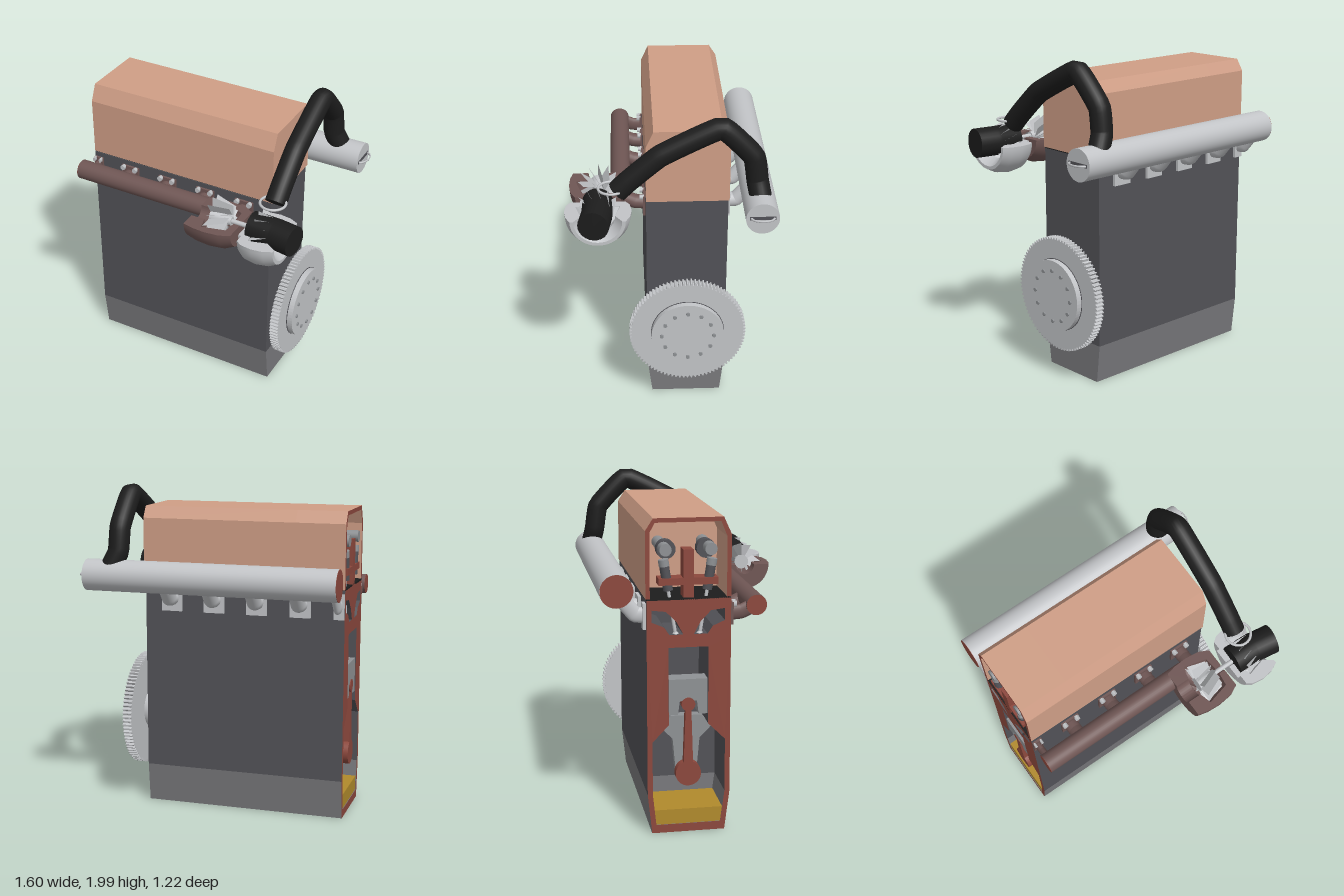
import * as THREE from 'three';
import { toCreasedNormals } from 'three/addons/utils/BufferGeometryUtils.js';

const mat = (name, color) => new THREE.MeshStandardMaterial({ name, color, side: THREE.DoubleSide });
const dark = mat('blockGrey', 0x525257), pan = mat('panGrey', 0x79797c), peach = mat('coverCopper', 0xcf9e86);
const light = mat('lightMetal', 0xc2c4c7), brown = mat('exhaustBrown', 0x6f5654), black = mat('rubberBlack', 0x1d1d1d);
const red = mat('sectionRed', 0x8c483d), oilMat = mat('oilYellow', 0xb08a2c), steel = mat('innerSteel', 0x8e9194);

const CUT = -0.8, DEEP = -0.5, MID = -0.11;
const V = (x, y, z) => new THREE.Vector3(x, y, z);

export function createModel() {
  const root = new THREE.Group();
  const add = (name, geo, m, parent = root) => {
    const mesh = new THREE.Mesh(geo, m);
    mesh.name = name;
    parent.add(mesh);
    return mesh;
  };
  // prism along x from a [z, y] outline
  const prism = (pts, x0, x1, holes = []) => {
    const v = (p) => p.map(([z, y]) => new THREE.Vector2(-z, y));
    const s = new THREE.Shape(v(pts));
    holes.forEach((h) => s.holes.push(new THREE.Path(v(h))));
    return new THREE.ExtrudeGeometry(s, { depth: x1 - x0, bevelEnabled: false }).rotateY(Math.PI / 2).translate(x0, 0, 0);
  };
  const ring = (z, y, r, n = 24) => Array.from({ length: n }, (_, i) => {
    const a = i / n * Math.PI * 2;
    return [z + r * Math.cos(a), y + r * Math.sin(a)];
  });
  const cylX = (r, x0, x1, y, z, n = 40) =>
    new THREE.CylinderGeometry(r, r, x1 - x0, n).rotateZ(-Math.PI / 2).translate((x0 + x1) / 2, y, z);
  const box = (w, h, d, x, y, z) => new THREE.BoxGeometry(w, h, d).translate(x, y, z);
  // tube through points, closed with discs
  const hose = (name, pts, r, m, parent = root) => {
    const curve = new THREE.CatmullRomCurve3(pts, false, 'catmullrom', 0.15);
    add(name, new THREE.TubeGeometry(curve, 48, r, 24), m, parent);
    for (const t of [0, 1]) {
      const cap = add(name + 'End', new THREE.CircleGeometry(r, 24), m, parent);
      const p = curve.getPoint(t);
      cap.position.copy(p);
      cap.lookAt(p.clone().addScaledVector(curve.getTangent(t), t ? 1 : -1));
    }
  };

  // crankcase, head, pan and cover: hollow at the cut end, solid behind it
  const blockOut = [[0.135, 0.24], [0.135, 1.18], [-0.35, 1.18], [-0.35, 0.24]];
  add('blockSection', prism([...blockOut, [-0.32, 0.24], [-0.32, 0.56], [-0.225, 0.66], [-0.225, 1.12],
    [0.005, 1.12], [0.005, 0.66], [0.105, 0.56], [0.105, 0.24]], CUT, DEEP), [red, dark]);
  add('block', prism(blockOut, DEEP, 0.44), dark);

  const headOut = [[0.135, 1.18], [0.135, 1.4], [-0.35, 1.4], [-0.35, 1.18]];
  const port = (s) => [[0.21, 1.34], [0.13, 1.33], [0.07, 1.27], [0.03, 1.195], [0.11, 1.195], [0.14, 1.24], [0.21, 1.27]]
    .map(([d, y]) => [MID + s * d, y]);
  add('headSection', prism(headOut, CUT, DEEP, [port(1), port(-1)]), [red, dark]);
  add('head', prism(headOut, DEEP, 0.44), dark);

  const panOut = [[0.105, 0], [0.135, 0.24], [-0.35, 0.24], [-0.325, 0]];
  add('panSection', prism([[0.105, 0], [0.135, 0.24], [0.105, 0.24], [0.08, 0.05], [-0.3, 0.05], [-0.32, 0.24],
    [-0.35, 0.24], [-0.325, 0]], CUT, DEEP), [red, pan]);
  add('oilPan', prism(panOut, DEEP, 0.44), pan);
  add('oil', prism([[0.08, 0.05], [0.092, 0.14], [-0.31, 0.14], [-0.3, 0.05]], CUT + 0.004, DEEP), oilMat);

  const coverOut = [[0.135, 1.405], [0.135, 1.76], [0.09, 1.86], [-0.31, 1.86], [-0.355, 1.79], [-0.355, 1.405]];
  const coverIn = [[-0.33, 1.405], [-0.33, 1.78], [-0.3, 1.835], [0.075, 1.835], [0.11, 1.75], [0.11, 1.405]];
  add('coverSection', prism([...coverOut, ...coverIn], CUT, DEEP), [red, peach]);
  add('valveCover', prism(coverOut, DEEP, 0.45), peach);
  add('headGasket', box(1.24, 0.012, 0.48, -0.18, 1.402, MID), black);

  // cutaway internals: piston, rod, crank, valves and cams
  add('piston', prism([[-0.222, 0.72], [-0.222, 0.93], [0.002, 0.93], [0.002, 0.72], [-0.05, 0.72], [-0.06, 0.8],
    [-0.16, 0.8], [-0.17, 0.72]], CUT + 0.004, -0.69), steel);
  add('connectingRod', prism([[-0.14, 0.36], [-0.125, 0.8], [-0.095, 0.8], [-0.08, 0.36]], CUT, -0.76), red);
  add('rodBigEnd', cylX(0.075, CUT, -0.75, 0.36, MID), red);
  add('rodSmallEnd', cylX(0.04, CUT, -0.75, 0.78, MID), red);
  add('crankWeb', prism([[-0.17, 0.33], [-0.19, 0.55], [-0.26, 0.62], [-0.2, 0.69], [-0.02, 0.69], [0.04, 0.62],
    [-0.03, 0.55], [-0.05, 0.33]], -0.72, -0.66), steel);
  add('crankshaft', cylX(0.07, -0.7, DEEP, 0.545, MID), steel);
  add('camCarrier', box(0.1, 0.3, 0.06, -0.75, 1.53, MID), red);
  add('camBridge', box(0.1, 0.04, 0.34, -0.75, 1.5, MID), red);
  for (const s of [1, -1]) {
    const z = MID + s * 0.13;
    add('camshaft', cylX(0.035, CUT, DEEP, 1.68, z, 20), steel);
    const lobe = add('camLobe', cylX(0.055, -0.72, -0.66, 1.67, z - s * 0.015, 20), dark);
    lobe.scale.y = 1;
    const valve = new THREE.Group();
    valve.name = 'valve';
    valve.position.set(-0.77, 1.19, MID + s * 0.07);
    valve.rotation.x = s * 0.16;
    root.add(valve);
    add('valveStem', new THREE.CylinderGeometry(0.01, 0.01, 0.42, 12).translate(0, 0.21, 0), light, valve);
    add('valveHead', new THREE.CylinderGeometry(0.012, 0.03, 0.03, 20), light, valve);
    add('valveSpring', new THREE.CylinderGeometry(0.028, 0.028, 0.14, 16).translate(0, 0.33, 0), dark, valve);
    add('tappet', new THREE.CylinderGeometry(0.03, 0.03, 0.04, 16).translate(0, 0.42, 0), steel, valve);
  }

  // flywheel with ring gear
  const gear = [];
  const TEETH = 90;
  for (let i = 0; i < TEETH; i++) {
    for (const [f, r] of [[0, 0.342], [0.25, 0.356], [0.5, 0.356], [0.75, 0.342]]) {
      const a = (i + f) / TEETH * Math.PI * 2;
      gear.push([MID + r * Math.cos(a), 0.545 + r * Math.sin(a)]);
    }
  }
  add('flywheelHub', cylX(0.125, 0.44, 0.52, 0.545, MID), light);
  add('ringGear', prism(gear, 0.51, 0.565), light);
  add('clutchPlate', prism(ring(MID, 0.545, 0.222, 64), 0.565, 0.603), light);
  add('plateGroove', prism(ring(MID, 0.545, 0.225, 64), 0.565, 0.569), dark);
  for (const [z, y] of ring(MID, 0.545, 0.16, 12)) {
    add('flywheelBolt', cylX(0.012, 0.6, 0.612, y, z, 10), steel);
  }

  // intake plenum and exhaust manifold
  add('intakePlenum', cylX(0.096, CUT, 0.75, 1.455, -0.517, 48), light);
  add('plenumCut', cylX(0.095, CUT - 0.002, CUT, 1.455, -0.517, 48), red);
  add('plenumSlot', box(0.006, 0.02, 0.15, 0.75, 1.46, -0.517), dark);
  const handle = add('plenumHandle', new THREE.TorusGeometry(0.065, 0.007, 8, 24, Math.PI)
    .rotateX(Math.PI / 2).rotateY(Math.PI / 2), light);
  handle.position.set(0.75, 1.46, -0.517);
  handle.scale.x = 0.6;
  add('exhaustManifold', cylX(0.06, CUT, 0.2, 1.35, 0.283, 32), brown);
  add('manifoldCut', cylX(0.059, CUT - 0.002, CUT, 1.35, 0.283, 32), red);
  hose('turbineInlet', [V(0.15, 1.35, 0.283), V(0.2, 1.35, 0.29), V(0.26, 1.33, 0.37)], 0.06, brown);

  [-0.8, -0.535, -0.267, 0, 0.267].forEach((x, i) => {
    const runner = new THREE.Group();
    runner.name = 'portRunners';
    runner.position.x = i ? x : -0.768;
    runner.scale.x = i ? 1 : 0.5; // the first one is cut through its middle
    root.add(runner);
    add('intakeFlange', box(0.125, 0.15, 0.018, 0, 1.305, -0.361), light, runner);
    hose('intakeRunner', [V(0, 1.31, -0.36), V(0, 1.315, -0.41), V(0, 1.41, -0.49)], 0.045, light, runner);
    add('exhaustFlange', box(0.12, 0.13, 0.016, 0, 1.305, 0.142), brown, runner);
    hose('exhaustRunner', [V(0, 1.305, 0.14), V(0, 1.31, 0.2), V(0, 1.345, 0.28)], 0.043, brown, runner);
    for (const s of [1, -1]) {
      add('flangeBolt', new THREE.CylinderGeometry(0.017, 0.017, 0.025, 6).rotateX(Math.PI / 2)
        .translate(s * 0.042, 1.36, 0.157), light, runner);
    }
  });

  // turbocharger: lower half housings around the x axis, profiles as [radius, x]
  const turbo = new THREE.Group();
  turbo.name = 'turbocharger';
  turbo.position.set(0, 1.41, 0.415);
  root.add(turbo);
  const halfHousing = (name, prof, m) => {
    const pts = [...prof, prof[0]].map(([r, x]) => new THREE.Vector2(r, x));
    const shell = new THREE.LatheGeometry(pts, 32, 0, Math.PI).rotateZ(-Math.PI / 2);
    add(name, toCreasedNormals(shell, 0.6), m, turbo);
    for (const s of [1, -1]) {
      const face = new THREE.Shape(prof.map(([r, x]) => new THREE.Vector2(x, s * r)));
      add(name + 'Face', new THREE.ShapeGeometry(face).rotateX(-Math.PI / 2), m, turbo);
    }
  };
  halfHousing('turbineHousing', [[0.06, 0.095], [0.155, 0.095], [0.17, 0.16], [0.175, 0.24], [0.165, 0.33],
    [0.135, 0.39], [0.02, 0.39], [0.02, 0.35], [0.1, 0.34], [0.135, 0.2], [0.06, 0.18]], brown);
  halfHousing('compressorHousing', [[0.02, 0.425], [0.105, 0.425], [0.105, 0.445], [0.16, 0.445], [0.185, 0.48],
    [0.195, 0.55], [0.185, 0.62], [0.16, 0.67], [0.14, 0.67], [0.1, 0.61], [0.13, 0.5], [0.02, 0.48]], light);
  add('turboShaft', cylX(0.014, 0.2, 0.55, 0, 0, 16), light, turbo);
  const wheel = (name, x, dir) => {
    const g = new THREE.Group();
    g.name = name;
    g.position.x = x;
    g.scale.x = dir;
    turbo.add(g);
    add('wheelHub', new THREE.CylinderGeometry(0.025, 0.045, 0.13, 20).rotateZ(-Math.PI / 2).translate(0.065, 0, 0), light, g);
    const blade = new THREE.Shape([[0, 0.02], [0, 0.125], [0.125, 0.085], [0.125, 0.02]].map(([a, b]) => new THREE.Vector2(a, b)));
    for (let i = 0; i < 12; i++) {
      add('blade', new THREE.ShapeGeometry(blade).rotateY(0.25).rotateX(i / 12 * Math.PI * 2), light, g);
    }
  };
  wheel('turbineWheel', 0.2, 1);
  wheel('compressorWheel', 0.5, 1);

  // rubber hoses and clamp
  hose('airInlet', [V(0.46, 1.42, 0.415), V(0.61, 1.42, 0.42), V(0.74, 1.42, 0.44)], 0.09, black);
  hose('boostHose', [V(0.55, 1.54, 0.3), V(0.55, 1.61, 0.23), V(0.55, 1.765, 0.05), V(0.55, 1.93, -0.29),
    V(0.55, 1.75, -0.475), V(0.555, 1.6, -0.5), V(0.6, 1.5, -0.52)], 0.064, black);
  add('hoseClamp', new THREE.TorusGeometry(0.075, 0.008, 8, 32).rotateX(Math.PI / 2).translate(0.55, 1.56, 0.335), light);
  return root;
}
